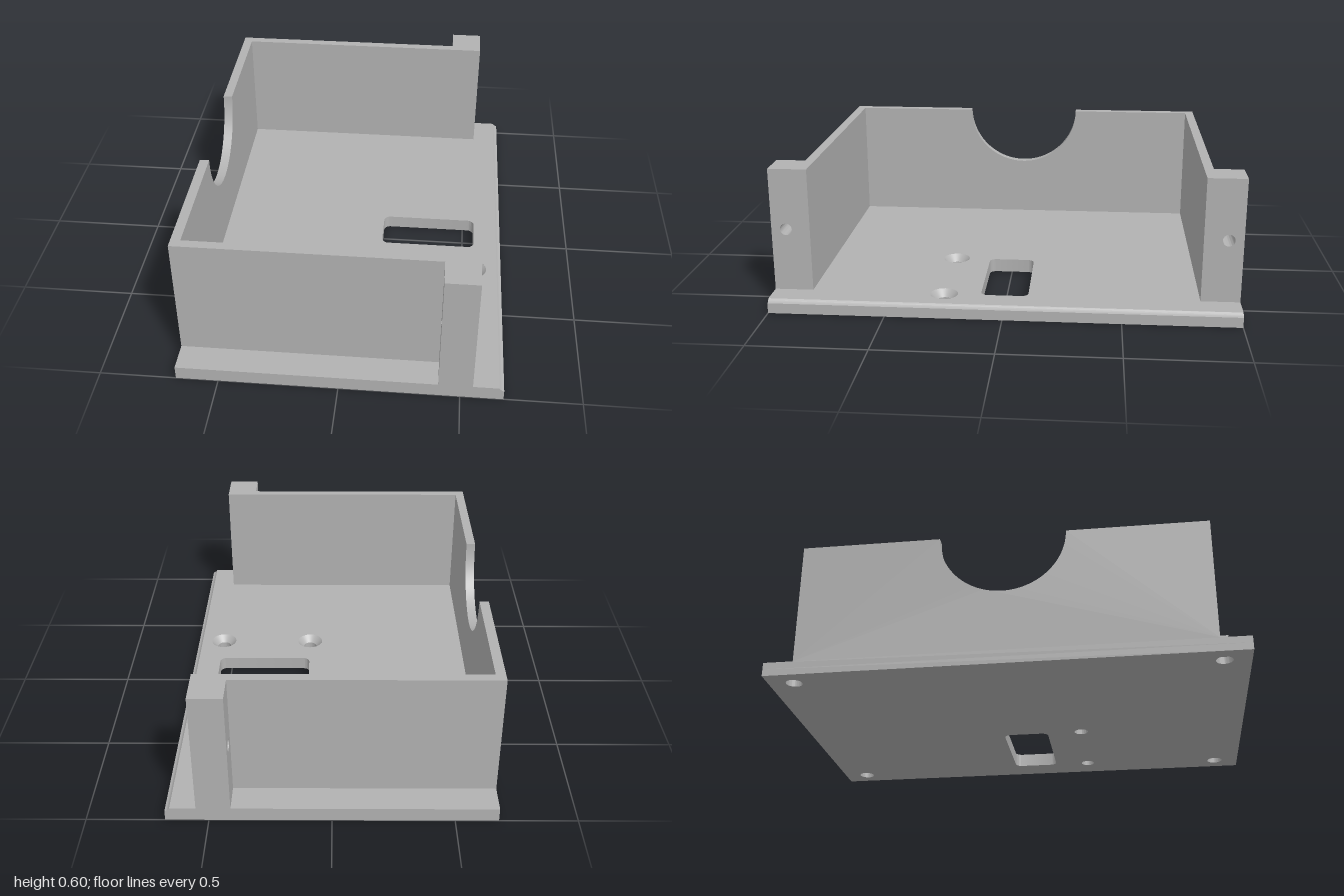
import * as THREE from 'three';
import { toCreasedNormals } from 'three/addons/utils/BufferGeometryUtils.js';

const W = 0.678, L = 1;            // half width (x) and half length (z)
const BASE = 0.06, TOP = 0.603;    // base thickness, wall height
const SPLIT = 0.03;                // level where the countersinks and magnet pockets end
const IN = 0.833, OUT = 0.873;     // inner and outer z of the side walls
const BACK = -0.637;               // inner x of the notched wall
const POST0 = 0.41, POST1 = 0.551; // x range of the posts
const LIP = 0.658;                 // start of the eased edge
const SCREWS = [[0.117, 0.26], [0.55, 0.26]];

export function createModel() {
  const group = new THREE.Group();
  const grey = new THREE.MeshStandardMaterial({ color: 0xb2b2b2 });

  const add = (name, geometry) => {
    const mesh = new THREE.Mesh(geometry, grey);
    mesh.name = name;
    group.add(mesh);
    return mesh;
  };
  const extrude = (shape, depth) => toCreasedNormals(
    new THREE.ExtrudeGeometry(shape, { depth, bevelEnabled: false, curveSegments: 32 }), 0.5);
  const rect = (x0, y0, x1, y1) => new THREE.Shape([
    new THREE.Vector2(x0, y0), new THREE.Vector2(x1, y0),
    new THREE.Vector2(x1, y1), new THREE.Vector2(x0, y1)]);
  const circle = (x, y, r) => new THREE.Path().absarc(x, y, r, 0, Math.PI * 2, true);

  // Rounded slot through the base
  const slot = () => {
    const x0 = 0.117, x1 = 0.552, y0 = -0.102, y1 = 0.102, r = 0.03;
    const p = new THREE.Path();
    p.absarc(x0 + r, y0 + r, r, Math.PI, Math.PI * 1.5, false);
    p.absarc(x1 - r, y0 + r, r, Math.PI * 1.5, Math.PI * 2, false);
    p.absarc(x1 - r, y1 - r, r, 0, Math.PI / 2, false);
    p.absarc(x0 + r, y1 - r, r, Math.PI / 2, Math.PI, false);
    p.closePath();
    return p;
  };

  // Horizontal plate drawn in (x, -z), raised to y0
  const plate = (name, shape, y0, y1) => {
    const g = extrude(shape, y1 - y0);
    g.rotateX(-Math.PI / 2);
    g.translate(0, y0, 0);
    return add(name, g);
  };
  // Upright panel drawn in (-z, y), extruded along x
  const panel = (name, shape, x0, x1) => {
    const g = extrude(shape, x1 - x0);
    g.rotateY(Math.PI / 2);
    g.translate(x0, 0, 0);
    return add(name, g);
  };

  // Lower half of the base, with blind corner pockets open below
  const lower = rect(-W, -L, W, L);
  lower.holes.push(slot());
  for (const [x, z] of SCREWS) lower.holes.push(circle(x, -z, 0.031));
  for (const x of [-0.59, 0.59])
    for (const z of [-0.89, 0.89]) lower.holes.push(circle(x, z, 0.035));
  plate('baseLower', lower, 0, SPLIT);

  // Upper half of the base, with wide openings for the countersinks
  const upper = rect(-W, -L, LIP, L);
  upper.holes.push(slot());
  for (const [x, z] of SCREWS) upper.holes.push(circle(x, -z, 0.06));
  plate('baseUpper', upper, SPLIT, BASE);

  // Countersink cones, facing inward
  for (const [x, z] of SCREWS) {
    const cone = new THREE.LatheGeometry(
      [new THREE.Vector2(0.06, BASE), new THREE.Vector2(0.031, SPLIT)], 48);
    add('countersink', cone).position.set(x, 0, z);
  }

  // Eased front edge of the base
  const edge = new THREE.Shape([
    [LIP, SPLIT], [W, SPLIT], [W, 0.045], [0.671, 0.047], [0.664, 0.053], [LIP, BASE],
  ].map(([x, y]) => new THREE.Vector2(x, y)));
  const edgeGeometry = extrude(edge, 2 * L);
  edgeGeometry.translate(0, 0, -L);
  add('easedEdge', edgeGeometry);

  // End wall with a half-round notch
  const wall = new THREE.Shape();
  wall.moveTo(-OUT, BASE);
  wall.lineTo(OUT, BASE);
  wall.lineTo(OUT, TOP);
  wall.lineTo(0.271, TOP);
  wall.absarc(0, TOP, 0.271, 0, -Math.PI, true);
  wall.lineTo(-OUT, TOP);
  wall.closePath();
  panel('notchedWall', wall, -W, BACK);

  // Side walls and drilled posts
  for (const s of [-1, 1]) {
    const side = new THREE.BoxGeometry(POST0 - BACK, TOP - BASE, OUT - IN);
    add('sideWall', side).position.set((POST0 + BACK) / 2, (TOP + BASE) / 2, s * (IN + OUT) / 2);

    const post = rect(Math.min(s * IN, s * L), BASE, Math.max(s * IN, s * L), TOP);
    post.holes.push(circle(s * 0.937, 0.335, 0.026));
    panel('post', post, POST0, POST1);
  }
  return group;
}
